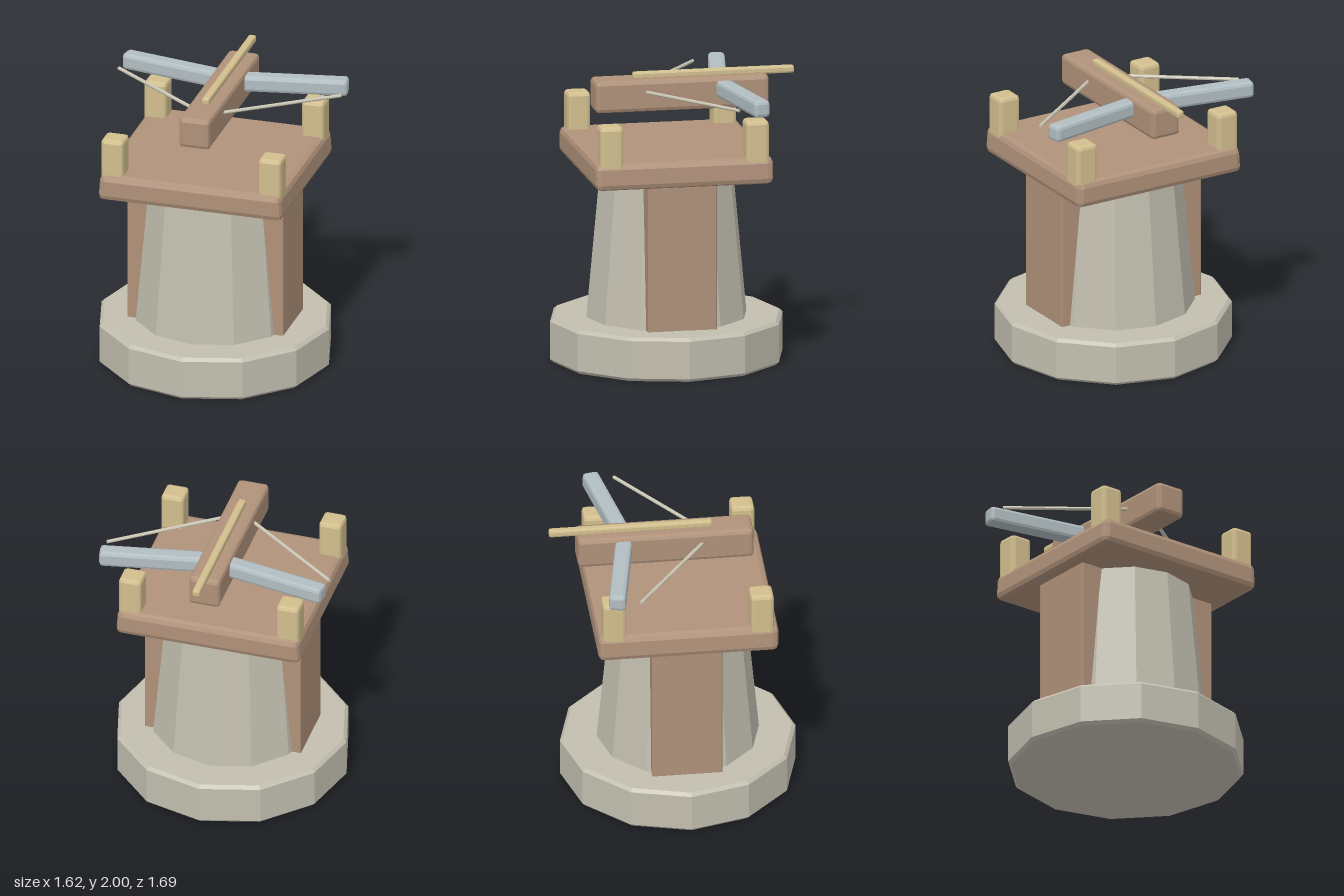
import * as THREE from 'three';
import { RoundedBoxGeometry } from 'three/addons/geometries/RoundedBoxGeometry.js';

const CZ = 0.04; // the tower sits slightly forward of the overall centre

const mat = (color) => new THREE.MeshStandardMaterial({ color, flatShading: true });

export function createModel() {
  const model = new THREE.Group();
  model.name = 'ballistaTower';
  const stone = mat(0xc2bfb0), wood = mat(0xb0927a), paleWood = mat(0xd2bf8e);
  const steel = mat(0xb2bec2), cord = mat(0xcbc6b4);

  const add = (name, geometry, material, x = 0, y = 0, z = 0) => {
    const mesh = new THREE.Mesh(geometry, material);
    mesh.name = name;
    mesh.position.set(x, y, z);
    model.add(mesh);
    return mesh;
  };
  // box with a single chamfer along every edge
  const block = (w, h, d, bevel) => new RoundedBoxGeometry(w, h, d, 1, bevel);

  // round plinth with chamfered rims
  const rim = [[0, 0], [0.785, 0], [0.808, 0.022], [0.808, 0.283], [0.785, 0.305], [0, 0.305]];
  add('plinth', new THREE.LatheGeometry(rim.map(([r, y]) => new THREE.Vector2(r, y)), 12), stone, 0, 0, CZ);

  // tapering twelve-sided tower with a timber frame through its sides
  add('tower', new THREE.CylinderGeometry(0.46, 0.557, 1.04, 12), stone, 0, 0.815, CZ);
  add('sideTimbers', block(1.11, 1.08, 0.48, 0.008), wood, 0, 0.82, CZ);

  // deck, a little narrower at the top
  const deck = block(1.31, 0.185, 1.235, 0.04);
  const p = deck.attributes.position;
  for (let i = 0; i < p.count; i++) {
    p.setX(i, p.getX(i) * (1 - 0.02 * (p.getY(i) / 0.185 + 0.5)));
  }
  add('deck', deck, wood, 0, 1.4125, CZ);

  // corner posts
  for (const x of [-0.56, 0.56]) {
    for (const z of [-0.467, 0.545]) {
      add('cornerPost', block(0.16, 0.31, 0.16, 0.025), paleWood, x, 1.605, z);
    }
  }

  // weapon stock and bolt
  add('stock', block(0.22, 0.22, 1.205, 0.028), wood, 0, 1.85, -0.0525);
  add('bolt', block(0.054, 0.052, 1.12, 0.014), paleWood, 0, 1.974, -0.285);

  // bow arms and strings, mirrored left and right
  for (const side of [-1, 1]) {
    const arm = add('bowArm', block(0.81, 0.115, 0.115, 0.024), steel, side * 0.395, 1.877, -0.396);
    arm.rotation.y = side * 0.18;

    const outer = new THREE.Vector3(side * 0.79, 1.877, -0.305);
    const inner = new THREE.Vector3(side * 0.03, 1.877, 0.25);
    const path = new THREE.Vector3().subVectors(outer, inner);
    const string = add('bowString', new THREE.CylinderGeometry(0.0125, 0.0125, path.length(), 8), cord);
    string.position.copy(inner).addScaledVector(path, 0.5);
    string.quaternion.setFromUnitVectors(new THREE.Vector3(0, 1, 0), path.normalize());
  }
  return model;
}
